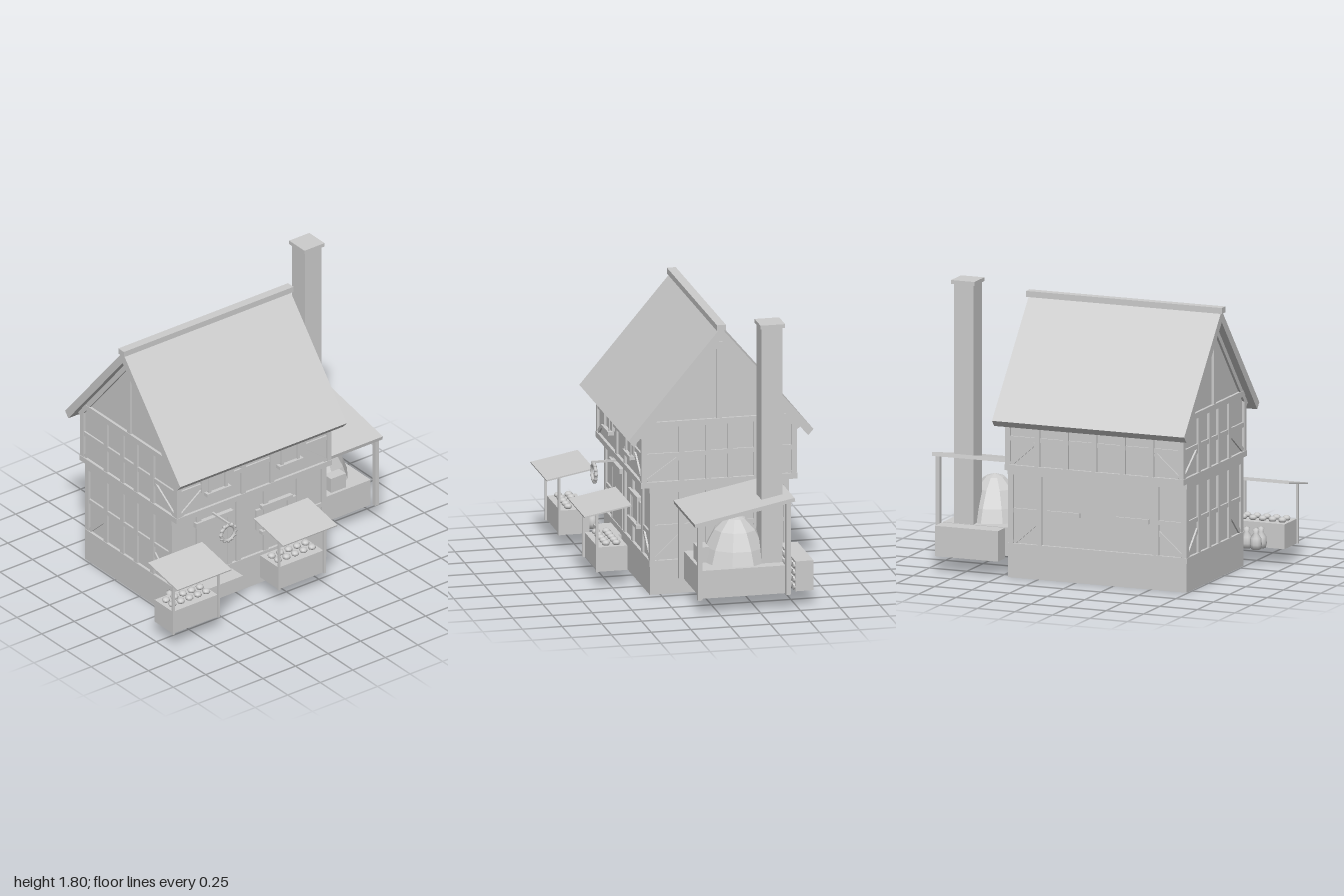
import * as THREE from 'three';

const stone = new THREE.MeshStandardMaterial({ color: 0xcccccc });
stone.name = 'pale grey';

function add(parent, name, geo, x = 0, y = 0, z = 0) {
  const m = new THREE.Mesh(geo, stone);
  m.name = name;
  m.position.set(x, y, z);
  parent.add(m);
  return m;
}

// Box given by its minimum and maximum on each axis
function block(parent, name, x0, x1, y0, y1, z0, z1) {
  return add(parent, name, new THREE.BoxGeometry(x1 - x0, y1 - y0, z1 - z0),
    (x0 + x1) / 2, (y0 + y1) / 2, (z0 + z1) / 2);
}

function group(parent, name, x = 0, y = 0, z = 0, ry = 0) {
  const g = new THREE.Group();
  g.name = name;
  g.position.set(x, y, z);
  g.rotation.y = ry;
  parent.add(g);
  return g;
}

// Timber between two points on a wall face
function beam(parent, u0, v0, u1, v1, w = 0.034, depth = 0.03) {
  const m = add(parent, 'timber', new THREE.BoxGeometry(Math.hypot(u1 - u0, v1 - v0), w, depth),
    (u0 + u1) / 2, (v0 + v1) / 2, 0);
  m.rotation.z = Math.atan2(v1 - v0, u1 - u0);
  return m;
}

// Beams common to every wall: sill, head, corner posts, inner posts, corner braces
function timberFrame(face, half, y0, y1, posts, brace) {
  const c = half - 0.017;
  beam(face, -half, y0 + 0.017, half, y0 + 0.017, 0.036, 0.036);
  beam(face, -half, y1 - 0.017, half, y1 - 0.017, 0.036, 0.036);
  for (const u of [-c, c, ...posts]) beam(face, u, y0, u, y1);
  for (const s of [-1, 1]) {
    beam(face, s * (c - 0.02), y0 + 0.04, s * brace, y0 + 0.18, 0.026, 0.022);
  }
}

function windowUnit(parent, u0, u1, v0, v1, shutters) {
  const g = group(parent, 'window');
  block(g, 'windowPane', u0, u1, v0, v1, 0, 0.012);
  for (const u of [u0, u1]) block(g, 'windowJamb', u - 0.01, u + 0.01, v0, v1, 0, 0.025);
  block(g, 'windowHead', u0 - 0.025, u1 + 0.025, v1 - 0.01, v1 + 0.015, 0, 0.03);
  block(g, 'windowSill', u0 - 0.03, u1 + 0.03, v0 - 0.015, v0 + 0.008, 0, 0.036);
  if (shutters) {
    block(g, 'shutter', u0 - 0.06, u0 - 0.01, v0 + 0.02, v1 - 0.01, 0, 0.018);
    block(g, 'shutter', u1 + 0.01, u1 + 0.06, v0 + 0.02, v1 - 0.01, 0, 0.018);
  }
}

function stall(parent, x, z) {
  const g = group(parent, 'marketStall', x, 0, z);
  block(g, 'counter', -0.172, 0.172, 0.1, 0.255, -0.185, 0);
  for (const s of [-1, 1]) block(g, 'awningPost', s * 0.174 - 0.007, s * 0.174 + 0.007, 0.1, 0.475, 0, 0.014);
  const awning = add(g, 'awning', new THREE.BoxGeometry(0.416, 0.009, 0.303), 0, 0.49, -0.055);
  awning.rotation.x = 0.185;
  const loaf = new THREE.SphereGeometry(0.026, 8, 6);
  loaf.scale(1, 0.7, 1);
  for (let i = 0; i < 5; i++) {
    for (const dz of [-0.06, -0.125]) add(g, 'loaf', loaf, -0.13 + i * 0.065, 0.268, dz);
  }
}

export function createModel() {
  const model = new THREE.Group();
  model.name = 'timberHouse';
  const house = group(model, 'house', -0.145, 0, -0.1225);
  const W = 0.595, D1 = 0.4375, D2 = 0.489;

  // Solid masses
  block(house, 'foundation', -W, W, 0, 0.18, -D1, D1);
  block(house, 'lowerWalls', -W + 0.015, W - 0.015, 0.18, 0.69, -D1 + 0.015, D1 - 0.015);
  const profile = new THREE.Shape([
    [-D2 + 0.015, 0.685], [D2 - 0.015, 0.685], [D2 - 0.015, 1.05], [0, 1.61], [-D2 + 0.015, 1.05],
  ].map(p => new THREE.Vector2(...p)));
  const upper = new THREE.ExtrudeGeometry(profile, { depth: 2 * W - 0.03, bevelEnabled: false });
  upper.translate(0, 0, -W + 0.015).rotateY(Math.PI / 2);
  add(house, 'upperWallsAndGables', upper);

  // Roof slopes and ridge cap
  const slopes = new THREE.Shape([
    [0.582, 1.0], [0, 1.685], [-0.582, 1.0], [-0.549, 0.962], [0, 1.61], [0.549, 0.962],
  ].map(p => new THREE.Vector2(...p)));
  const roof = new THREE.ExtrudeGeometry(slopes, { depth: 1.28, bevelEnabled: false });
  roof.translate(0, 0, -0.64).rotateY(Math.PI / 2);
  add(house, 'roof', roof);
  block(house, 'ridgeCap', -0.652, 0.652, 1.668, 1.705, -0.028, 0.028);

  // Gable side timbers, same on both ends
  for (const s of [-1, 1]) {
    const side = group(house, s > 0 ? 'leftSideFrame' : 'rightSideFrame', s * (W - 0.015), 0, 0, s * Math.PI / 2);
    const posts = [-0.236, -0.07, 0.07, 0.236];
    timberFrame(side, D1, 0.18, 0.68, posts, 0.25);
    beam(side, -D1, 0.425, D1, 0.425, 0.028, 0.024);
    timberFrame(side, D2, 0.68, 1.095, posts, 0.25);
    beam(side, -D2, 0.88, D2, 0.88, 0.03, 0.024);
    beam(side, 0, 1.09, 0, 1.58);
    for (const t of [-1, 1]) beam(side, t * 0.5, 1.0, t * 0.012, 1.575, 0.036);
  }

  // Front timbers
  const low = group(house, 'frontLowerFrame', 0, 0, D1 - 0.015);
  timberFrame(low, W, 0.18, 0.68, [-0.385, -0.08, 0.13, 0.385], 0.4);
  beam(low, -W, 0.38, -0.385, 0.38, 0.028, 0.024);
  beam(low, 0.385, 0.38, W, 0.38, 0.028, 0.024);
  beam(low, -0.15, 0.2, -0.15, 0.58);
  block(low, 'door', -0.368, -0.167, 0.215, 0.567, 0, 0.012);
  block(low, 'doorLintel', -0.415, -0.13, 0.565, 0.598, -0.01, 0.03);
  windowUnit(low, 0.115, 0.3, 0.36, 0.53, true);
  const high = group(house, 'frontUpperFrame', 0, 0, D2 - 0.015);
  timberFrame(high, W, 0.68, 1.06, [-0.08, 0.14], 0.37);
  for (const [a, b] of [[-W, -0.36], [-0.22, -0.08], [-0.08, 0.2], [0.35, W]]) beam(high, a, 0.88, b, 0.88, 0.028, 0.024);
  windowUnit(high, -0.345, -0.22, 0.812, 0.965, true);
  windowUnit(high, 0.21, 0.335, 0.812, 0.965, true);

  // Back timbers
  const backLow = group(house, 'backLowerFrame', 0, 0, -D1 + 0.015, Math.PI);
  timberFrame(backLow, W, 0.18, 0.68, [-0.39, 0.39], 0.4);
  for (const s of [-1, 1]) {
    beam(backLow, s * W, 0.42, s * 0.39, 0.42, 0.028, 0.024);
    beam(backLow, s * 0.34, 0.42, s * 0.12, 0.42, 0.028, 0.024);
  }
  const backHigh = group(house, 'backUpperFrame', 0, 0, -D2 + 0.015, Math.PI);
  timberFrame(backHigh, W, 0.68, 1.06, [-0.38, -0.19, 0, 0.19, 0.38], 0.4);
  beam(backHigh, -W, 0.88, W, 0.88, 0.028, 0.024);

  // Doorstep and hanging ring sign
  block(model, 'doorstep', -0.545, -0.28, 0.1, 0.18, 0.31, 0.43);
  block(model, 'signBracket', -0.421, -0.409, 0.607, 0.62, 0.3, 0.47);
  const sign = group(model, 'ringSign', -0.415, 0.545, 0.457);
  add(sign, 'ring', new THREE.TorusGeometry(0.052, 0.011, 6, 20));
  for (let i = 0; i < 12; i++) {
    const a = i * Math.PI / 6;
    add(sign, 'ringLump', new THREE.SphereGeometry(0.013, 6, 5), 0.056 * Math.cos(a), 0.056 * Math.sin(a), 0);
  }
  block(sign, 'signHanger', -0.004, 0.004, 0.05, 0.07, -0.004, 0.004);

  // Market stalls and sacks
  stall(model, -0.792, 0.62);
  stall(model, 0.047, 0.585);
  const sackProfile = [[0, 0], [0.03, 0], [0.037, 0.03], [0.034, 0.07], [0.014, 0.1], [0.022, 0.125], [0, 0.132]];
  const sack = new THREE.LatheGeometry(sackProfile.map(p => new THREE.Vector2(...p)), 10);
  for (const [x, z] of [[-0.8, 0.37], [-0.81, 0.425], [-0.73, 0.39]]) add(model, 'sack', sack, x, 0.1, z);

  // Bake-oven shelter
  const oven = group(model, 'ovenShelter');
  block(oven, 'ovenBase', 0.49, 0.945, 0.1, 0.277, -0.42, 0.11);
  for (const x of [0.463, 0.957]) {
    block(oven, 'shelterPost', x, x + 0.028, 0.1, 0.58, 0.112, 0.14);
    block(oven, 'shelterPost', x, x + 0.028, 0.1, 0.69, -0.443, -0.415);
  }
  const cover = add(oven, 'shelterRoof', new THREE.BoxGeometry(0.55, 0.024, 0.642), 0.722, 0.643, -0.152);
  cover.rotation.x = 0.2;
  const domeProfile = [[0.218, 0], [0.188, 0.085], [0.132, 0.19], [0.062, 0.257], [0, 0.277]];
  const dome = new THREE.LatheGeometry(domeProfile.map(p => new THREE.Vector2(...p)), 10).toNonIndexed();
  dome.computeVertexNormals();
  add(oven, 'ovenDome', dome, 0.71, 0.277, -0.16);
  block(oven, 'ovenMouth', 0.655, 0.77, 0.277, 0.375, 0.02, 0.09);
  block(oven, 'chimney', 0.742, 0.87, 0.277, 1.775, -0.418, -0.287);
  block(oven, 'chimneyCap', 0.73, 0.885, 1.772, 1.796, -0.432, -0.277);

  // Firewood stack behind the oven
  block(oven, 'woodStack', 0.5, 0.92, 0.1, 0.29, -0.602, -0.49);
  const log = new THREE.CylinderGeometry(0.02, 0.02, 0.03, 8).rotateX(Math.PI / 2);
  for (let r = 0; r < 4; r++) {
    for (let i = 0; i < 9; i++) add(oven, 'log', log, 0.53 + i * 0.045, 0.125 + r * 0.045, -0.493);
  }
  return model;
}
